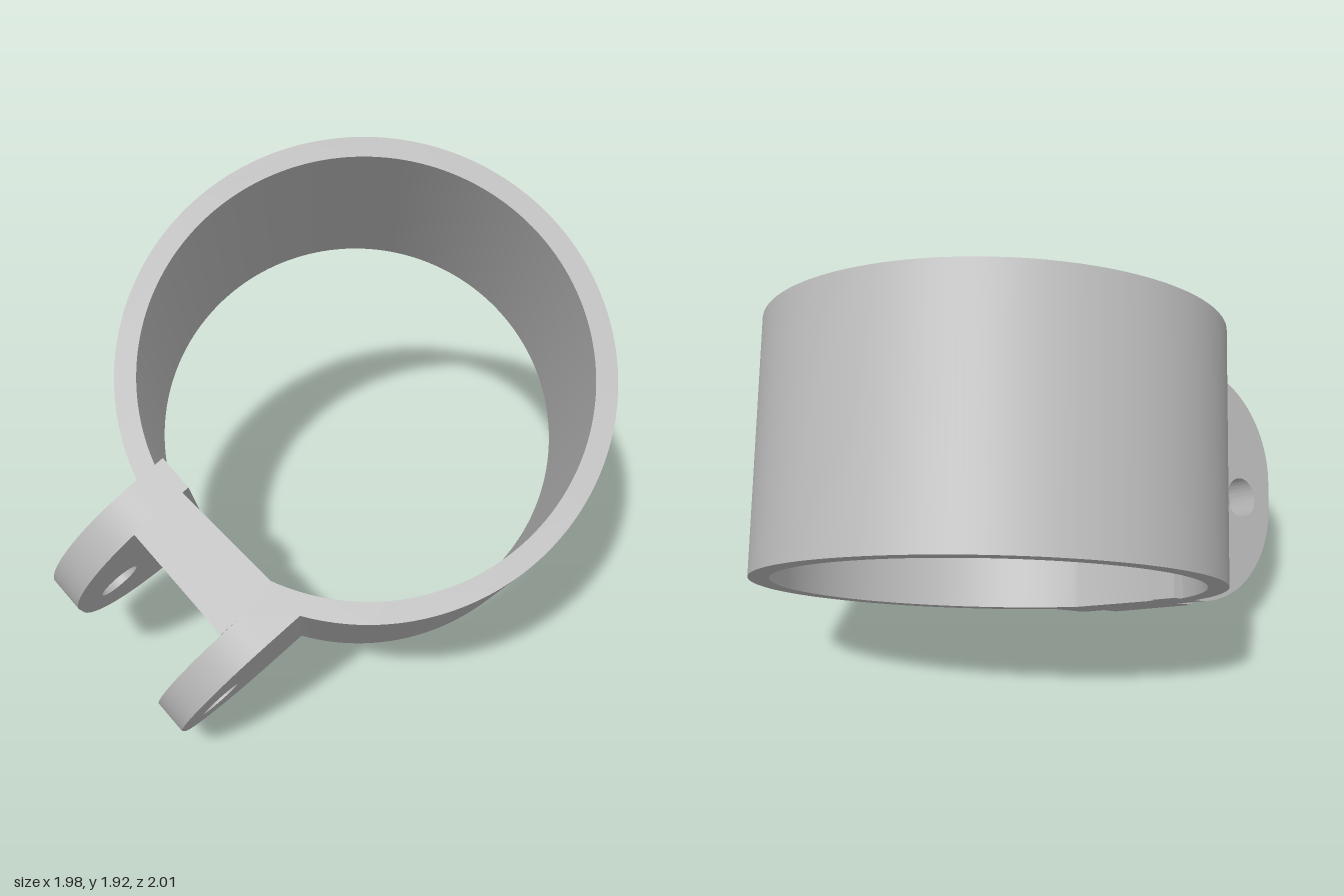
import * as THREE from 'three';
import { toCreasedNormals } from 'three/addons/utils/BufferGeometryUtils.js';

const HEIGHT = 0.94, OUTER = 0.857, INNER = 0.782;
const FLAT = 0.713, FLOOR = 0.95;          // inner pad face and clevis floor
const LUGS = { left: [0.345, 0.47], right: [-0.228, -0.095] };

function extrude(shape, depth) {
  const geo = new THREE.ExtrudeGeometry(shape, { depth, bevelEnabled: false, curveSegments: 96 });
  geo.translate(0, 0, -depth / 2);
  return geo;
}

// Ring cross-section with a flat inner pad and the clevis floor outside
function bandGeometry() {
  const x0 = LUGS.right[1], x1 = LUGS.left[0], padLeft = LUGS.right[0];
  const at = (x, r) => Math.acos(x / r);
  const outer = new THREE.Shape();
  outer.moveTo(x1, FLOOR);
  outer.lineTo(x0, FLOOR);
  outer.absarc(0, 0, OUTER, at(x0, OUTER), at(x1, OUTER) + Math.PI * 2, false);
  outer.closePath();

  const hole = new THREE.Path();
  hole.moveTo(padLeft, FLAT);
  hole.absarc(0, 0, INNER, at(padLeft, INNER), Math.asin(FLAT / INNER) + Math.PI * 2, false);
  hole.closePath();
  outer.holes.push(hole);

  const geo = extrude(outer, HEIGHT);
  geo.rotateX(Math.PI / 2);
  return toCreasedNormals(geo, 0.5);
}

// Rounded ear with a pin hole, thickness along x
function lugGeometry([x0, x1]) {
  const h = HEIGHT / 2, r = 0.42, tip = 1.268;
  const s = new THREE.Shape();
  s.moveTo(FLAT, -h);
  s.lineTo(tip - r, -h);
  s.absarc(tip - r, -h + r, r, -Math.PI / 2, 0, false);
  s.absarc(tip - r, h - r, r, 0, Math.PI / 2, false);
  s.lineTo(FLAT, h);
  s.closePath();
  const pin = new THREE.Path();
  pin.absarc(1.1, -0.035, 0.08, 0, Math.PI * 2, true);
  s.holes.push(pin);

  const geo = extrude(s, x1 - x0);
  geo.rotateY(-Math.PI / 2);
  geo.translate((x0 + x1) / 2, 0, 0);
  return toCreasedNormals(geo, 0.5);
}

export function createModel() {
  const grey = new THREE.MeshStandardMaterial({ color: 0xb4b4b4 });
  grey.name = 'grey';

  const clamp = new THREE.Group();
  clamp.name = 'ringClamp';
  const add = (name, geo) => {
    const mesh = new THREE.Mesh(geo, grey);
    mesh.name = name;
    clamp.add(mesh);
  };
  add('ringBand', bandGeometry());
  for (const [side, span] of Object.entries(LUGS)) add(side + 'ClevisLug', lugGeometry(span));

  // Ring leans forward, clevis turned towards the front right
  clamp.rotation.set(0.715, -0.873, 0.012, 'XZY');
  clamp.position.set(0.122, 1.0, -0.05);

  const model = new THREE.Group();
  model.name = 'model';
  model.add(clamp);
  return model;
}
